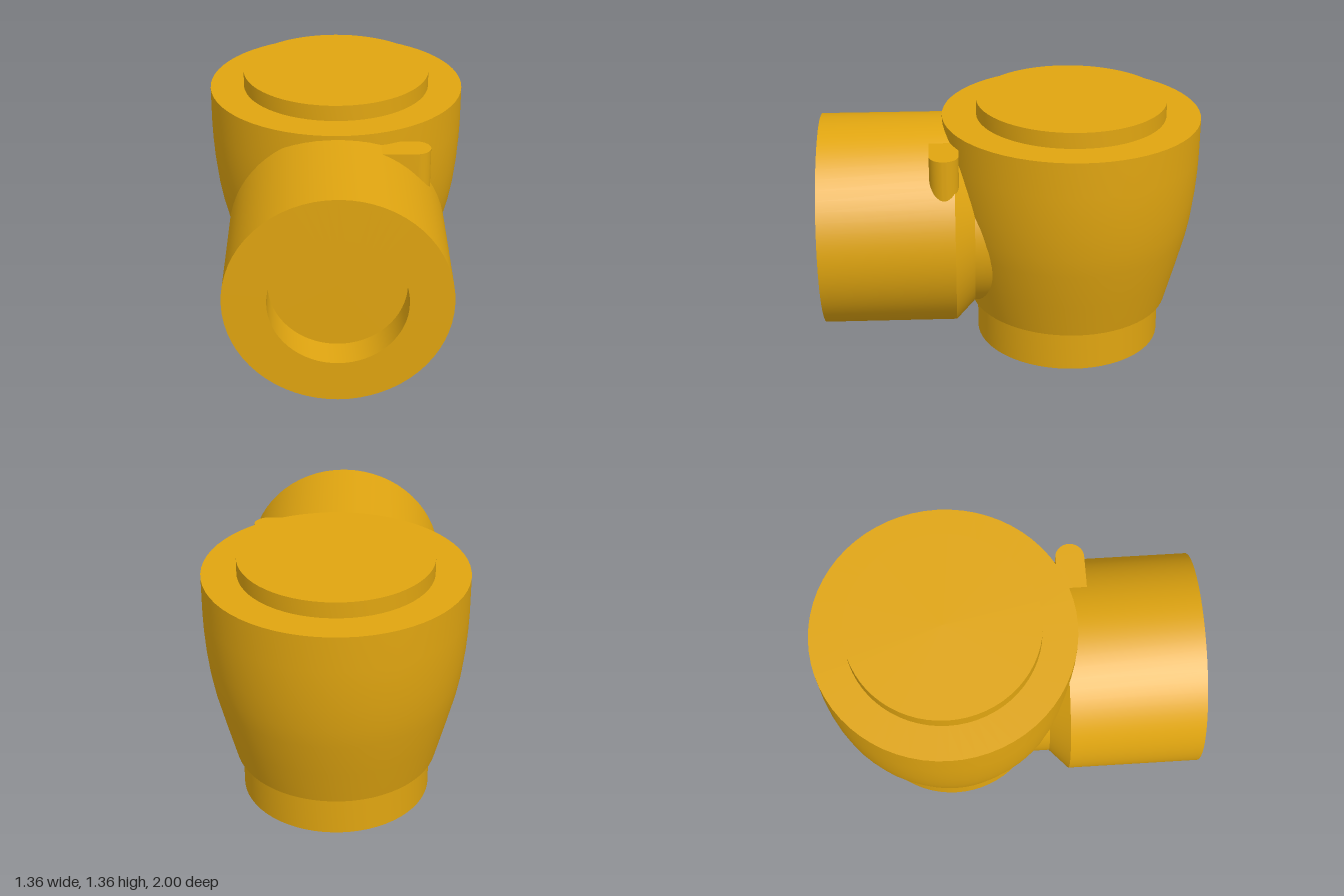
import * as THREE from 'three';
import { toCreasedNormals } from 'three/addons/utils/BufferGeometryUtils.js';

const material = new THREE.MeshStandardMaterial({ color: 0xe0a510 });

// Revolves [radius, height] pairs, keeping the rims sharp
function turned(name, profile, segments = 64) {
  const points = profile.map(([r, h]) => new THREE.Vector2(r, h));
  const geometry = toCreasedNormals(new THREE.LatheGeometry(points, segments), 0.5);
  const mesh = new THREE.Mesh(geometry, material);
  mesh.name = name;
  return mesh;
}

export function createModel() {
  const group = new THREE.Group();
  group.name = 'valveBody';

  // Upright bowl tapering towards the bottom, with a collar at each end
  const bowl = turned('bowl', [
    [0, 0], [0.5, 0], [0.5, 0.225], [0.535, 0.225],
    [0.585, 0.42], [0.634, 0.62], [0.654, 0.73], [0.669, 0.86],
    [0.677, 0.98], [0.68, 1.08], [0.68, 1.27],
    [0.5, 1.27], [0.5, 1.355], [0, 1.355],
  ]);
  bowl.position.z = -0.32;
  group.add(bowl);

  // Horizontal spout: narrow neck, chamfer, barrel and a shallow bore
  const spout = turned('spout', [
    [0, -0.1], [0.46, -0.1], [0.46, 0.2], [0.563, 0.3], [0.563, 1],
    [0.345, 1], [0.345, 0.83], [0, 0.83],
  ]);
  spout.rotation.x = Math.PI / 2;
  spout.position.y = 0.685;
  group.add(spout);

  // Round-ended lug rising out of the barrel's left shoulder
  const r = 0.075;
  const outline = new THREE.Shape();
  outline.moveTo(0.1, -r);
  outline.lineTo(0.4, -r);
  outline.absarc(0.4, 0, r, -Math.PI / 2, Math.PI / 2, false);
  outline.lineTo(0.1, r);
  outline.closePath();
  const lugGeometry = new THREE.ExtrudeGeometry(outline, { depth: 0.3, bevelEnabled: false, curveSegments: 16 });
  lugGeometry.rotateX(-Math.PI / 2);
  const lug = new THREE.Mesh(toCreasedNormals(lugGeometry, 0.5), material);
  lug.name = 'lug';
  lug.position.set(0, 0.9, 0.353);
  group.add(lug);

  return group;
}
